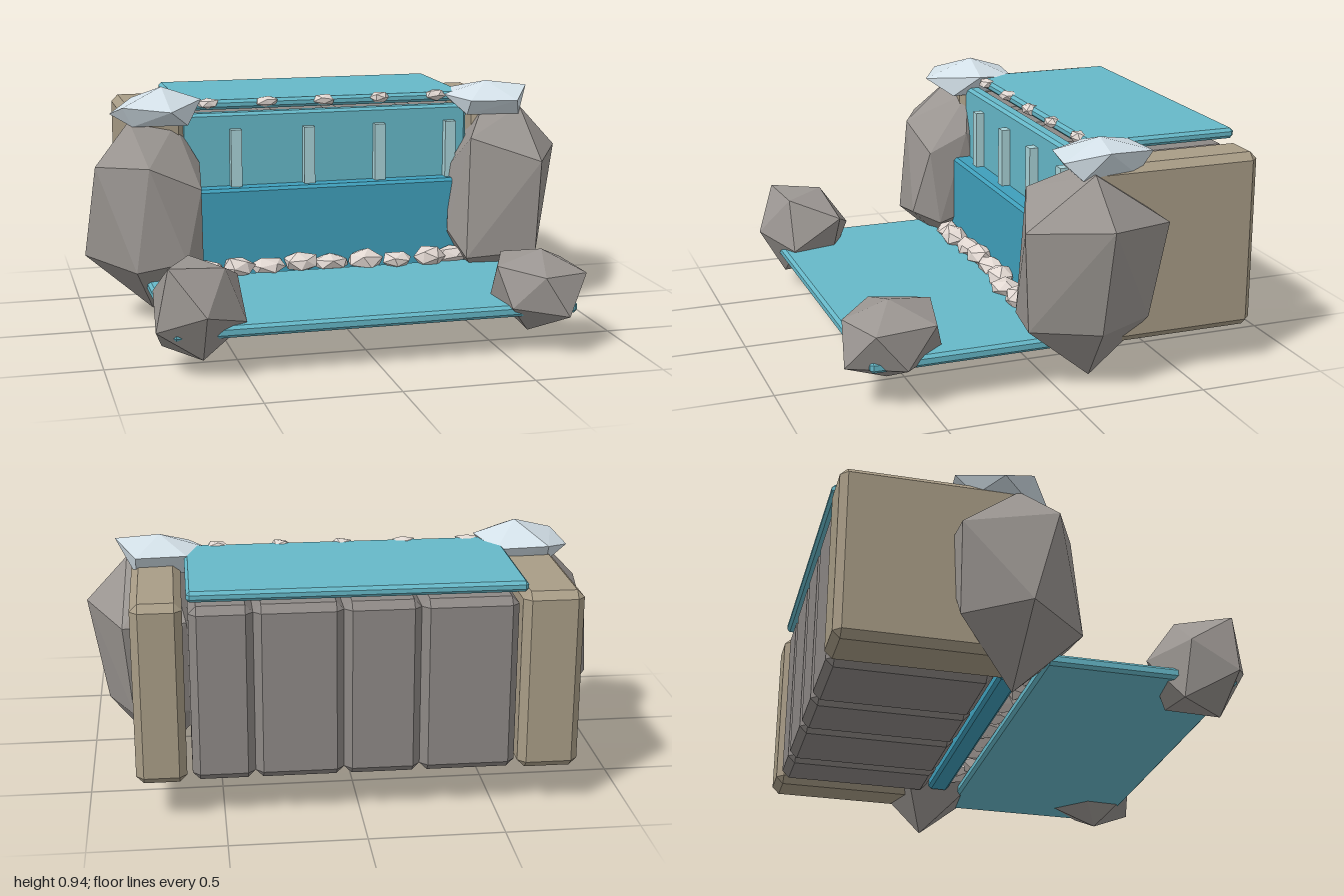
import * as THREE from 'three';
import { ConvexGeometry } from 'three/addons/geometries/ConvexGeometry.js';

const mat = (color) => new THREE.MeshStandardMaterial({ color, flatShading: true });
const V = (x, y, z) => new THREE.Vector3(x, y, z);

// Box with chamfered edges, given by its min and max corners
function chamferBox(min, max, b) {
  const c = min.map((v, i) => (v + max[i]) / 2);
  const h = min.map((v, i) => (max[i] - v) / 2);
  const pts = [];
  for (const sx of [-1, 1]) for (const sy of [-1, 1]) for (const sz of [-1, 1])
    for (let face = 0; face < 3; face++) {
      const p = [sx, sy, sz].map((s, i) => c[i] + s * (h[i] - (i === face ? 0 : b)));
      pts.push(V(...p));
    }
  return new ConvexGeometry(pts);
}

// Small repeatable noise
function seeded(seed) {
  let s = seed * 7919 + 17;
  return () => (s = (s * 16807) % 2147483647) / 2147483647;
}

// Jittered icosahedron stretched to fill a given min/max box
function rockIn(min, max, seed) {
  const rnd = seeded(seed);
  for (let i = 0; i < 5; i++) rnd();
  const t = (1 + Math.sqrt(5)) / 2;
  const pts = [];
  for (const a of [-1, 1]) for (const b of [-t, t])
    pts.push(V(0, a, b), V(a, b, 0), V(b, 0, a));
  const turn = new THREE.Euler(0.55, rnd() * 6, 0);
  pts.forEach((p) => p.multiplyScalar(0.85 + 0.3 * rnd()).applyEuler(turn));
  const box = new THREE.Box3().setFromPoints(pts);
  const size = box.getSize(V(0, 0, 0));
  pts.forEach((p) => {
    p.sub(box.min).divide(size);
    p.set(...p.toArray().map((f, i) => min[i] + f * (max[i] - min[i])));
  });
  return new ConvexGeometry(pts);
}

const hull = (list) => new ConvexGeometry(list.map((p) => V(...p)));

export function createModel() {
  const model = new THREE.Group();
  const water = mat(0x66b8c8), deepWater = mat(0x3f9fbb), foam = mat(0xa9d3d8);
  const rock = mat(0x9a9591), blockGrey = mat(0x8d8885), tan = mat(0xa89c86);
  const ice = mat(0xd3e0e8), pebble = mat(0xe2d8d2);
  const add = (name, geometry, material) => {
    const m = new THREE.Mesh(geometry, material);
    m.name = name;
    model.add(m);
  };

  // Water surfaces
  add('pool', chamferBox([-0.77, 0.15, -0.02], [0.78, 0.195, 0.71], 0.012), water);
  add('upperStream', chamferBox([-0.6, 0.84, -0.795], [0.62, 0.88, -0.195], 0.012), water);
  add('upperFall', chamferBox([-0.6, 0.48, -0.2], [0.61, 0.835, -0.14], 0.012), water);
  add('lowerFall', chamferBox([-0.59, 0.16, -0.15], [0.6, 0.535, -0.065], 0.012), deepWater);

  // Foam streaks on the upper fall
  for (const x of [-0.38, -0.075, 0.225, 0.53])
    add('foamStreak', new THREE.BoxGeometry(0.045, 0.25, 0.04).translate(x, 0.645, -0.125), foam);

  // Cliff: grey blocks in the middle, tan blocks at both ends
  const edges = [-0.575, -0.22, 0.06, 0.385, 0.615];
  for (let i = 0; i < 4; i++)
    add('cliffBlock', chamferBox([edges[i], 0.15, -0.78], [edges[i + 1], 0.815, -0.16], 0.028), blockGrey);
  add('rightCliffEnd', chamferBox([-0.81, 0.15, -0.795], [-0.585, 0.835, -0.12], 0.028), tan);
  add('leftCliffEnd', chamferBox([0.635, 0.15, -0.795], [0.82, 0.835, -0.12], 0.028), tan);

  // Tall boulders flanking the fall
  add('leftBoulder', hull([
    [0.68, 0.82, -0.14], [0.84, 0.82, -0.12], [1, 0.65, -0.13], [0.86, 0.62, -0.41],
    [0.84, 0.63, 0.15], [0.57, 0.72, 0.04], [0.53, 0.58, -0.12], [0.62, 0.62, -0.36],
    [0.93, 0.24, -0.12], [0.83, 0.25, -0.35], [0.83, 0.25, 0.13], [0.5, 0.32, -0.04],
    [0.56, 0.22, -0.25], [0.55, 0.22, 0.07], [0.72, 0, -0.16]]), rock);
  add('rightBoulder', hull([
    [-0.81, 0.82, -0.13], [-0.62, 0.8, -0.16], [-0.96, 0.66, -0.02], [-0.92, 0.6, -0.37],
    [-0.76, 0.66, 0.08], [-0.53, 0.64, -0.12], [-0.55, 0.56, 0.04], [-0.66, 0.6, -0.38],
    [-1, 0.28, -0.13], [-0.86, 0.26, -0.36], [-0.82, 0.25, 0.1], [-0.62, 0.28, 0.1],
    [-0.55, 0.3, -0.2], [-0.54, 0.24, 0], [-0.73, 0.04, -0.14]]), rock);

  // Ice caps
  add('leftIceCap', hull([
    [0.6, 0.795, -0.1], [0.82, 0.795, -0.08], [0.8, 0.795, -0.3], [0.62, 0.795, -0.28],
    [0.53, 0.87, -0.2], [0.6, 0.86, -0.05], [0.79, 0.86, -0.015], [0.88, 0.905, -0.16],
    [0.8, 0.88, -0.365], [0.61, 0.88, -0.35], [0.71, 0.925, -0.19]]), ice);
  add('rightIceCap', hull([
    [-0.8, 0.8, -0.1], [-0.58, 0.8, -0.08], [-0.6, 0.8, -0.3], [-0.78, 0.8, -0.29],
    [-0.88, 0.84, -0.2], [-0.84, 0.88, -0.08], [-0.66, 0.87, 0.02], [-0.51, 0.89, -0.18],
    [-0.57, 0.87, -0.35], [-0.77, 0.88, -0.365], [-0.67, 0.945, -0.19]]), ice);

  // Corner rocks of the pool
  add('rightPoolRock', rockIn([-0.83, 0.065, 0.39], [-0.49, 0.42, 0.785], 3), rock);
  add('leftPoolRock', rockIn([0.48, 0.065, 0.405], [0.815, 0.385, 0.79], 8), rock);

  // Pebbles where the fall meets the pool
  const row = [[-0.51, -0.03], [-0.39, -0.02], [-0.27, -0.04], [-0.13, -0.04], [0, -0.04],
    [0.14, -0.03], [0.27, 0], [0.41, 0], [0.52, -0.04]];
  row.forEach(([x, z], i) => {
    const w = 0.055 + 0.02 * (i % 3 === 0 ? 0.5 : i % 2 === 0 ? 1 : 0.7);
    add('poolPebble', rockIn([x - w, 0.18, z - 0.05], [x + w, 0.25 + 0.015 * (i % 2), z + 0.055], i + 11), pebble);
  });

  // Pebbles along the upper lip
  [-0.48, -0.235, 0.005, 0.245, 0.49].forEach((x, i) =>
    add('lipPebble', rockIn([x - 0.044, 0.845, -0.23], [x + 0.044, 0.89, -0.17], i + 31), pebble));

  return model;
}
